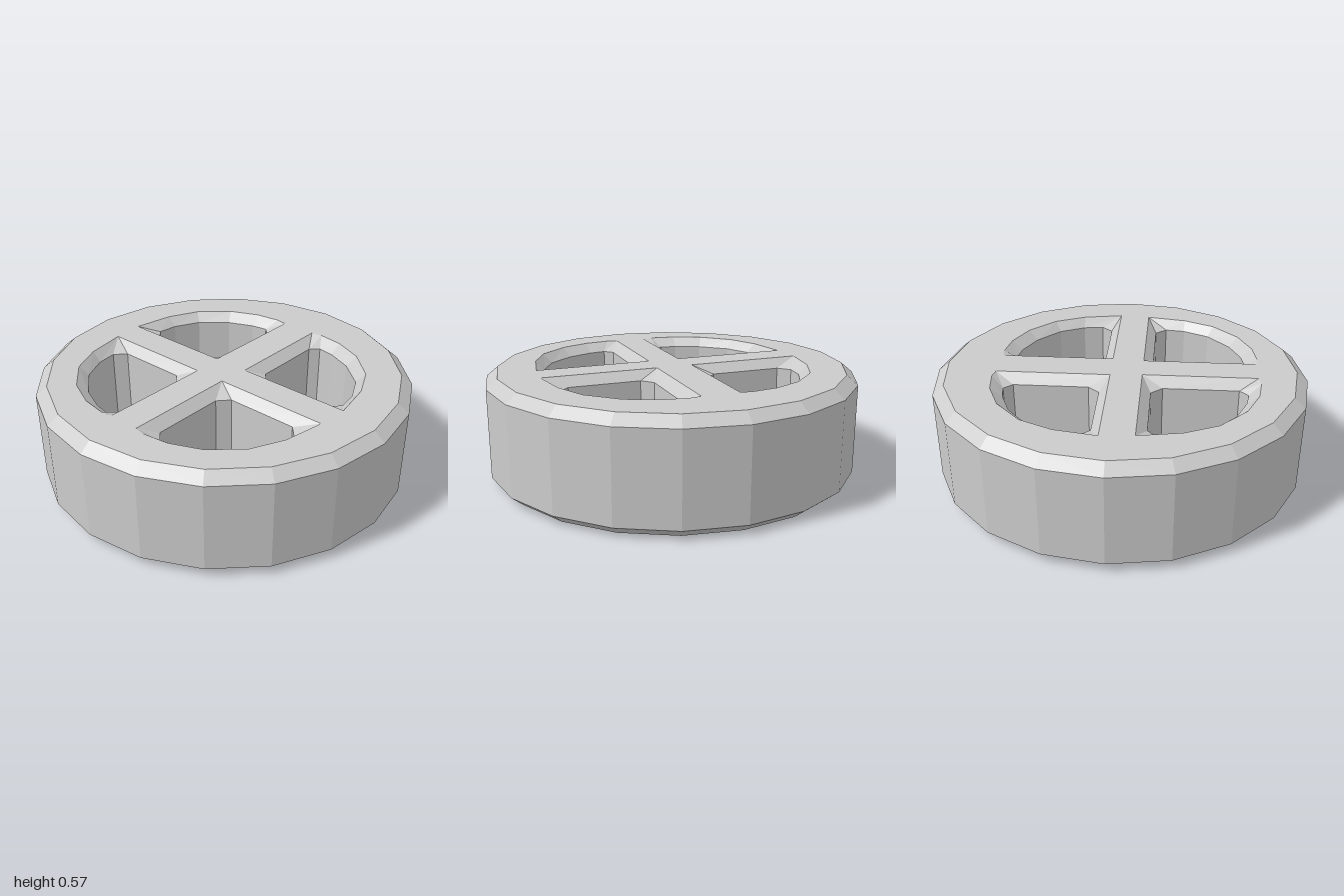
import * as THREE from 'three';

const HEIGHT = 0.575, BEVEL = 0.05, SIDES = 20, RIM = 0.94;

// One window as [x, z]: wide outline on the faces, narrow outline inside the bevel.
// Sharp face corners are doubled to meet the clipped inner corners.
const WIDE = [[0.05, -0.73], [0.05, -0.73], [0.27, -0.69], [0.44, -0.61], [0.58, -0.46],
  [0.65, -0.3], [0.67, -0.16], [0.66, -0.1], [0.05, -0.1], [0.05, -0.1]];
const NARROW = [[0.1, -0.6], [0.16, -0.655], [0.27, -0.64], [0.41, -0.57], [0.53, -0.43],
  [0.59, -0.29], [0.605, -0.2], [0.56, -0.155], [0.16, -0.155], [0.1, -0.21]];

// Places an outline in one of the four quadrants, keeping it clockwise from above
function place(outline, left, front) {
  const pts = outline.map(([x, z]) => {
    const px = left ? -0.07 - x : x;
    const pz = left ? z + 0.013 : z;
    return [px, front ? -pz : pz];
  });
  return left !== front ? pts.reverse() : pts;
}

// Bevelled wall of a window, lofted through four levels
function windowWall(wide, narrow) {
  const rings = [[wide, 0], [narrow, BEVEL], [narrow, HEIGHT - BEVEL], [wide, HEIGHT]];
  const n = wide.length, pos = [];
  for (let r = 0; r < rings.length - 1; r++) {
    for (let i = 0; i < n; i++) {
      const corner = (ring, k) => [ring[0][k % n][0], ring[1], ring[0][k % n][1]];
      const a = corner(rings[r], i), b = corner(rings[r], i + 1);
      const c = corner(rings[r + 1], i + 1), d = corner(rings[r + 1], i);
      pos.push(...a, ...b, ...c, ...a, ...c, ...d);
    }
  }
  const geo = new THREE.BufferGeometry();
  geo.setAttribute('position', new THREE.Float32BufferAttribute(pos, 3));
  geo.computeVertexNormals();
  return geo;
}

export function createModel() {
  const group = new THREE.Group();
  group.name = 'spokedWheel';
  const material = new THREE.MeshStandardMaterial({ color: 0xcccccc, flatShading: true });
  const add = (name, geo) => {
    const mesh = new THREE.Mesh(geo, material);
    mesh.name = name;
    group.add(mesh);
    return mesh;
  };

  // Outer tread with bevelled edges
  const profile = [[RIM, 0], [1, BEVEL], [1, HEIGHT - BEVEL], [RIM, HEIGHT]];
  add('tread', new THREE.LatheGeometry(profile.map(([x, y]) => new THREE.Vector2(x, y)), SIDES));

  // Face with four windows
  const face = new THREE.Shape(Array.from({ length: SIDES }, (_, i) => {
    const a = (i / SIDES) * Math.PI * 2;
    return new THREE.Vector2(RIM * Math.cos(a), RIM * Math.sin(a));
  }));
  const underside = face.clone();

  for (const left of [false, true]) {
    for (const front of [false, true]) {
      const wide = place(WIDE, left, front), narrow = place(NARROW, left, front);
      add(`${front ? 'front' : 'back'}${left ? 'Minus' : 'Plus'}XWindow`, windowWall(wide, narrow));
      const unique = wide.filter((p, i) => {
        const q = wide[(i + 1) % wide.length];
        return p[0] !== q[0] || p[1] !== q[1];
      });
      face.holes.push(new THREE.Path(unique.map(([x, z]) => new THREE.Vector2(x, -z))));
      underside.holes.push(new THREE.Path(unique.map(([x, z]) => new THREE.Vector2(x, z))));
    }
  }

  // Top and bottom faces
  add('topFace', new THREE.ShapeGeometry(face).rotateX(-Math.PI / 2).translate(0, HEIGHT, 0));
  add('bottomFace', new THREE.ShapeGeometry(underside).rotateX(Math.PI / 2));
  return group;
}
